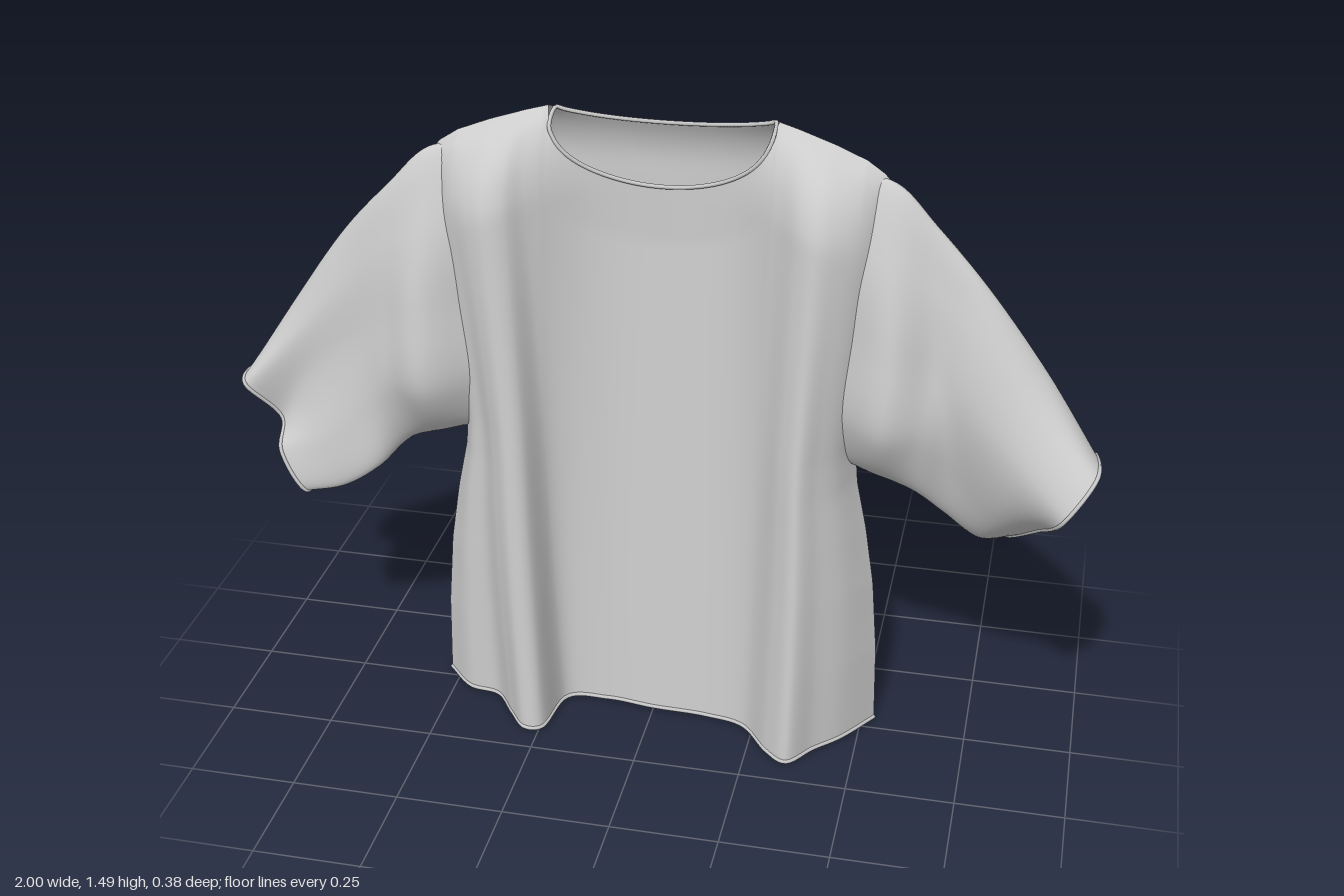
import * as THREE from 'three';

const fabric = new THREE.MeshStandardMaterial({ color: 0xcccccc, side: THREE.DoubleSide });
fabric.name = 'light grey fabric';
const NECK = 0.25, HALF = 0.53;
const vec = (p) => new THREE.Vector3(...p);
const spline = (points, closed = false) => new THREE.CatmullRomCurve3(points, closed);

// Piecewise interpolation through sorted [position, value] pairs
function profile(pairs, s) {
  let i = 0;
  while (i < pairs.length - 2 && s > pairs[i + 1][0]) i++;
  const [a, va] = pairs[i], [b, vb] = pairs[i + 1];
  return THREE.MathUtils.lerp(va, vb, THREE.MathUtils.clamp((s - a) / (b - a), 0, 1));
}

// Smooth sheet from a grid of points; closed joins the last column to the first
function sheet(name, rows, closed) {
  const n = rows[0].length, index = [];
  for (let j = 0; j < rows.length - 1; j++) {
    for (let i = 0; i < (closed ? n : n - 1); i++) {
      const k = (i + 1) % n, a = j * n + i, b = j * n + k, c = a + n, d = b + n;
      index.push(a, b, d, a, d, c);
    }
  }
  const geo = new THREE.BufferGeometry().setFromPoints(rows.flat());
  geo.setIndex(index);
  geo.computeVertexNormals();
  const mesh = new THREE.Mesh(geo, fabric);
  mesh.name = name;
  return mesh;
}

// Narrow rolled edge along a row of points
function binding(name, points, closed = false) {
  const mesh = new THREE.Mesh(new THREE.TubeGeometry(spline(points, closed), 160, 0.005, 5, closed), fabric);
  mesh.name = name;
  return mesh;
}

// Half width of the body by height fraction; shoulder line and its depth by |x|
const SIDE = [[0, 0.53], [0.15, 0.525], [0.28, 0.51], [0.38, 0.487], [0.46, 0.462], [0.52, 0.455], [0.65, 0.475], [0.85, 0.505], [1, 0.51]];
const SHOULDER = [[NECK, 1.49], [0.3, 1.478], [0.38, 1.455], [0.45, 1.43], [0.49, 1.405], [HALF, 1.36]];
const RIDGE = [[NECK, -0.06], [0.5, -0.02]];

// Cross-sections [fraction of half width, z] at hem and chest
const FRONT = {
  neckDrop: 0.17, rollHeight: 0.2, drape: 0,
  hem: [[-1, -0.03], [-0.87, 0.04], [-0.72, 0.06], [-0.62, 0.13], [-0.54, 0.18], [-0.46, 0.17], [-0.41, 0.04], [-0.22, 0.02],
    [0, 0.033], [0.25, 0.04], [0.43, 0.065], [0.56, 0.15], [0.66, 0.185], [0.76, 0.12], [0.87, 0.06], [1, -0.04]],
  chest: [[-1, -0.02], [-0.93, 0.035], [-0.85, 0.07], [-0.78, 0.09], [-0.7, 0.1], [-0.62, 0.085], [-0.54, 0.045], [-0.3, -0.035],
    [0, -0.06], [0.3, -0.035], [0.5, 0.03], [0.62, 0.085], [0.7, 0.1], [0.8, 0.085], [0.91, 0.045], [1, -0.02]],
};
const BACK = {
  neckDrop: 0.033, rollHeight: 0.14, drape: 0.002,
  hem: [[-1, -0.03], [-0.9, -0.005], [-0.78, 0.015], [-0.73, -0.05], [-0.71, -0.12], [-0.58, -0.14], [-0.25, -0.145], [0, -0.145],
    [0.25, -0.16], [0.5, -0.175], [0.63, -0.18], [0.71, -0.13], [0.75, -0.03], [0.81, 0.01], [0.9, -0.01], [1, -0.04]],
  chest: [[-1, -0.02], [-0.93, -0.035], [-0.87, -0.065], [-0.82, -0.105], [-0.76, -0.13], [-0.58, -0.135], [-0.25, -0.125], [0, -0.125],
    [0.25, -0.13], [0.5, -0.14], [0.68, -0.145], [0.77, -0.135], [0.82, -0.105], [0.87, -0.065], [0.93, -0.035], [1, -0.02]],
};

// One body panel: folds fade from hem to chest, then roll over to the shoulder ridge
function panelRows({ hem, chest, neckDrop, rollHeight, drape }) {
  const rows = [], nv = 70, nu = 200;
  for (let j = 0; j <= nv; j++) {
    const v = j / nv, t = Math.min(1, v / 0.9);
    const section = spline(hem.map(([u, z], i) => new THREE.Vector3(
      THREE.MathUtils.lerp(u, chest[i][0], t), 0, THREE.MathUtils.lerp(z, chest[i][1], t))));
    const taper = HALF - profile(SIDE, v), row = [];
    for (let i = 0; i <= nu; i++) {
      const p = section.getPoint(i / nu);
      // The side taper pulls in mostly the outer folds
      const x = p.x * (HALF - taper * Math.abs(p.x) ** 3), ax = Math.abs(x);
      const shoulder = profile(SHOULDER, ax), ridge = profile(RIDGE, ax);
      const neck = ax < NECK ? neckDrop * Math.sqrt(1 - (ax / NECK) ** 2) : 0;
      const y = v * (shoulder - neck);
      const roll = Math.sin(Math.min(1, (shoulder - y) / rollHeight) * Math.PI / 2) ** 0.65;
      // Soft drapes hanging below the back neck
      const wave = drape * Math.sin(20 * (y - 1.8 * Math.hypot(ax, 0.15))) * Math.sin(Math.PI * v) * (1 - p.x * p.x);
      row.push(new THREE.Vector3(x, y, ridge + (p.z + wave - ridge) * roll));
    }
    rows.push(row);
  }
  return rows;
}

// Sleeve loops run: top, down the front, bottom, up the back
const ARMHOLE = [
  [[0.42, 1.4, -0.03], [0.42, 1.25, 0.03], [0.42, 1.05, 0.04], [0.41, 0.85, 0.04],
    [0.41, 0.72, -0.02], [0.41, 0.85, -0.04], [0.42, 1.05, -0.05], [0.42, 1.25, -0.05]],
  [[0.515, 1.39, -0.015], [0.52, 1.24, 0.05], [0.53, 1.04, 0.095], [0.52, 0.83, 0.105],
    [0.5, 0.695, -0.01], [0.51, 0.81, -0.1], [0.52, 1.03, -0.12], [0.52, 1.24, -0.08]],
  [[0.61, 1.3, -0.005], [0.62, 1.17, 0.035], [0.62, 1.0, 0.055], [0.61, 0.82, 0.07],
    [0.59, 0.665, 0], [0.6, 0.76, -0.11], [0.61, 0.97, -0.13], [0.61, 1.17, -0.09]],
];
const LEFT_SLEEVE = [
  [[0.73, 1.17, 0.005], [0.73, 1.08, 0.055], [0.7, 0.92, 0.075], [0.68, 0.73, 0.03],
    [0.66, 0.6, -0.03], [0.66, 0.68, -0.11], [0.68, 0.85, -0.13], [0.71, 1.05, -0.08]],
  [[0.87, 0.985, 0.01], [0.87, 0.92, 0.09], [0.83, 0.8, 0.125], [0.78, 0.64, 0.05],
    [0.74, 0.53, -0.06], [0.75, 0.6, -0.12], [0.78, 0.73, -0.09], [0.84, 0.87, -0.06]],
  [[0.985, 0.815, 0.03], [0.99, 0.81, 0.13], [0.93, 0.72, 0.17], [0.88, 0.63, 0.06],
    [0.8, 0.515, -0.11], [0.82, 0.57, -0.1], [0.89, 0.68, -0.04], [0.97, 0.78, -0.02]],
];
const RIGHT_SLEEVE = [
  [[0.73, 1.17, -0.03], [0.73, 1.06, 0.015], [0.7, 0.92, 0.03], [0.68, 0.74, 0.05],
    [0.66, 0.6, 0.04], [0.66, 0.66, -0.06], [0.68, 0.83, -0.11], [0.71, 1.03, -0.105]],
  [[0.87, 0.975, -0.05], [0.87, 0.9, 0.01], [0.84, 0.79, 0.01], [0.79, 0.65, 0.05],
    [0.75, 0.54, 0.045], [0.76, 0.6, -0.05], [0.79, 0.74, -0.13], [0.85, 0.88, -0.125]],
  [[0.99, 0.79, -0.04], [0.985, 0.78, 0.03], [0.91, 0.68, 0], [0.9, 0.62, 0.05],
    [0.84, 0.52, 0.055], [0.83, 0.56, -0.04], [0.86, 0.65, -0.15], [0.93, 0.77, -0.135]],
];

// Loft the loops lengthwise, then round each ring
function sleeve(name, loops, side) {
  const rails = loops[0].map((_, i) => spline(loops.map((loop) => vec(loop[i]).multiply(new THREE.Vector3(side, 1, 1)))));
  const rows = [];
  for (let j = 0; j <= 40; j++) {
    rows.push(spline(rails.map((rail) => rail.getPoint(j / 40)), true).getPoints(80).slice(0, 80));
  }
  const group = new THREE.Group();
  group.name = name;
  group.add(sheet(name + 'Cloth', rows, true), binding(name + 'Cuff', rows[40], true));
  return group;
}

export function createModel() {
  const model = new THREE.Group();
  model.name = 'shirt';
  const front = panelRows(FRONT), back = panelRows(BACK);
  model.add(sheet('frontPanel', front), sheet('backPanel', back));
  model.add(binding('frontHem', front[0].map((p) => p.clone().setY(0.005))));
  model.add(binding('backHem', back[0].map((p) => p.clone().setY(0.005))));

  // Neckband along the open part of both top edges
  const open = (rows) => rows[rows.length - 1].filter((p) => Math.abs(p.x) < NECK);
  model.add(binding('neckband', [...open(front), ...open(back).reverse()], true));

  model.add(sleeve('leftSleeve', [...ARMHOLE, ...LEFT_SLEEVE], 1));
  model.add(sleeve('rightSleeve', [...ARMHOLE, ...RIGHT_SLEEVE], -1));
  return model;
}
